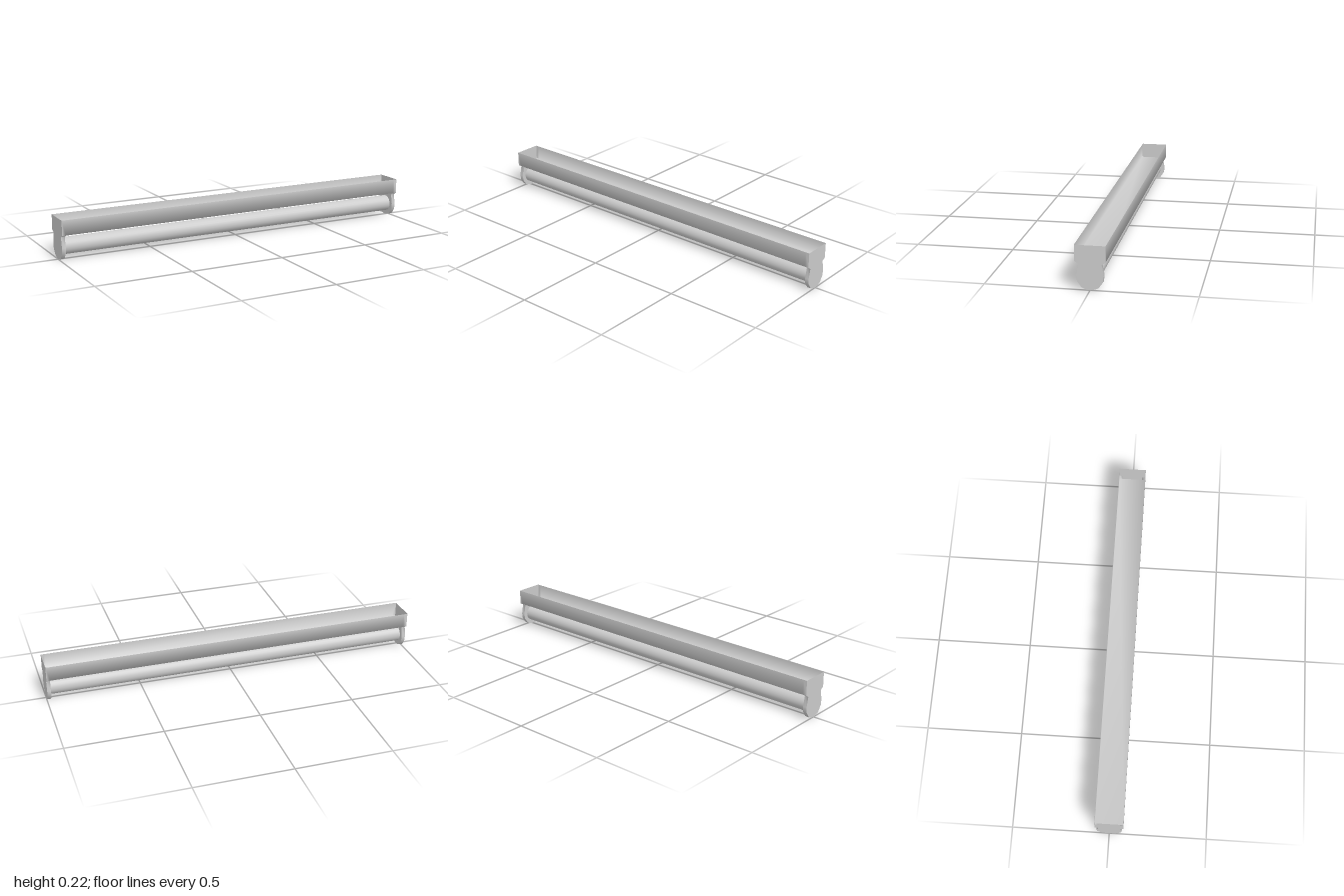
import * as THREE from 'three';

const HALF = 1, INNER = 0.98;
const TOP = 0.215, FLOOR = 0.137, WIDE = 0.073;
const TUBE_Y = 0.067, TUBE_R = 0.043;

// Right half of the lamp holder outline [z, y], from the housing floor down to the lowest point
const holderHalf = [
  [WIDE, FLOOR], [0.054, 0.125], [0.0645, 0.072], [0.061, 0.042],
  [0.04, 0.012], [0.02, 0.004], [0, 0],
];
const holder = [...holderHalf, ...holderHalf.slice(0, -1).reverse().map(([z, y]) => [-z, y])];

const material = new THREE.MeshStandardMaterial({ color: 0xcccccc, side: THREE.DoubleSide });

function addMesh(parent, name, geometry) {
  const mesh = new THREE.Mesh(geometry, material);
  mesh.name = name;
  parent.add(mesh);
  return mesh;
}

// Sheet joining a [z, y] profile across several x stations; keep() can leave quads open
function sheet(profile, stations, keep = () => true) {
  const positions = [], index = [], n = profile.length;
  for (const x of stations) for (const [z, y] of profile) positions.push(x, y, z);
  for (let s = 0; s < stations.length - 1; s++) {
    for (let i = 0; i < n - 1; i++) {
      if (!keep(s, i)) continue;
      const a = s * n + i, b = a + n;
      index.push(a, a + 1, b, b, a + 1, b + 1);
    }
  }
  const g = new THREE.BufferGeometry();
  g.setAttribute('position', new THREE.Float32BufferAttribute(positions, 3));
  g.setIndex(index);
  g.computeVertexNormals();
  return g;
}

// Flat plate with a [z, y] outline, facing along side * x
function plate(outline, x, side) {
  const shape = new THREE.Shape(outline.map(([z, y]) => new THREE.Vector2(z, y)));
  return new THREE.ShapeGeometry(shape).rotateY(side * Math.PI / 2).translate(x, 0, 0);
}

export function createModel() {
  const group = new THREE.Group();
  group.name = 'tubeLight';

  // Open-topped housing; its floor is open above the hollow lamp holders
  const trough = [[-WIDE, TOP], [-WIDE, FLOOR], [WIDE, FLOOR], [WIDE, TOP]];
  addMesh(group, 'housing', sheet(trough, [-HALF, -INNER, INNER, HALF],
    (s, i) => i !== 1 || s === 1));

  // Lamp tube
  addMesh(group, 'lampTube',
    new THREE.CylinderGeometry(TUBE_R, TUBE_R, 2 * INNER, 24, 1, true)
      .rotateZ(Math.PI / 2).translate(0, TUBE_Y, 0));

  // End caps: full outer plate, rim and inner plate of the lamp holder
  for (const side of [-1, 1]) {
    const cap = new THREE.Group();
    cap.name = side > 0 ? 'leftEndCap' : 'rightEndCap';
    addMesh(cap, 'outerPlate', plate([[WIDE, TOP], ...holder, [-WIDE, TOP]], side * HALF, side));
    addMesh(cap, 'holderRim', sheet(holder, side > 0 ? [HALF, INNER] : [-INNER, -HALF]));
    addMesh(cap, 'innerPlate', plate(holder, side * INNER, -side));
    group.add(cap);
  }
  return group;
}
